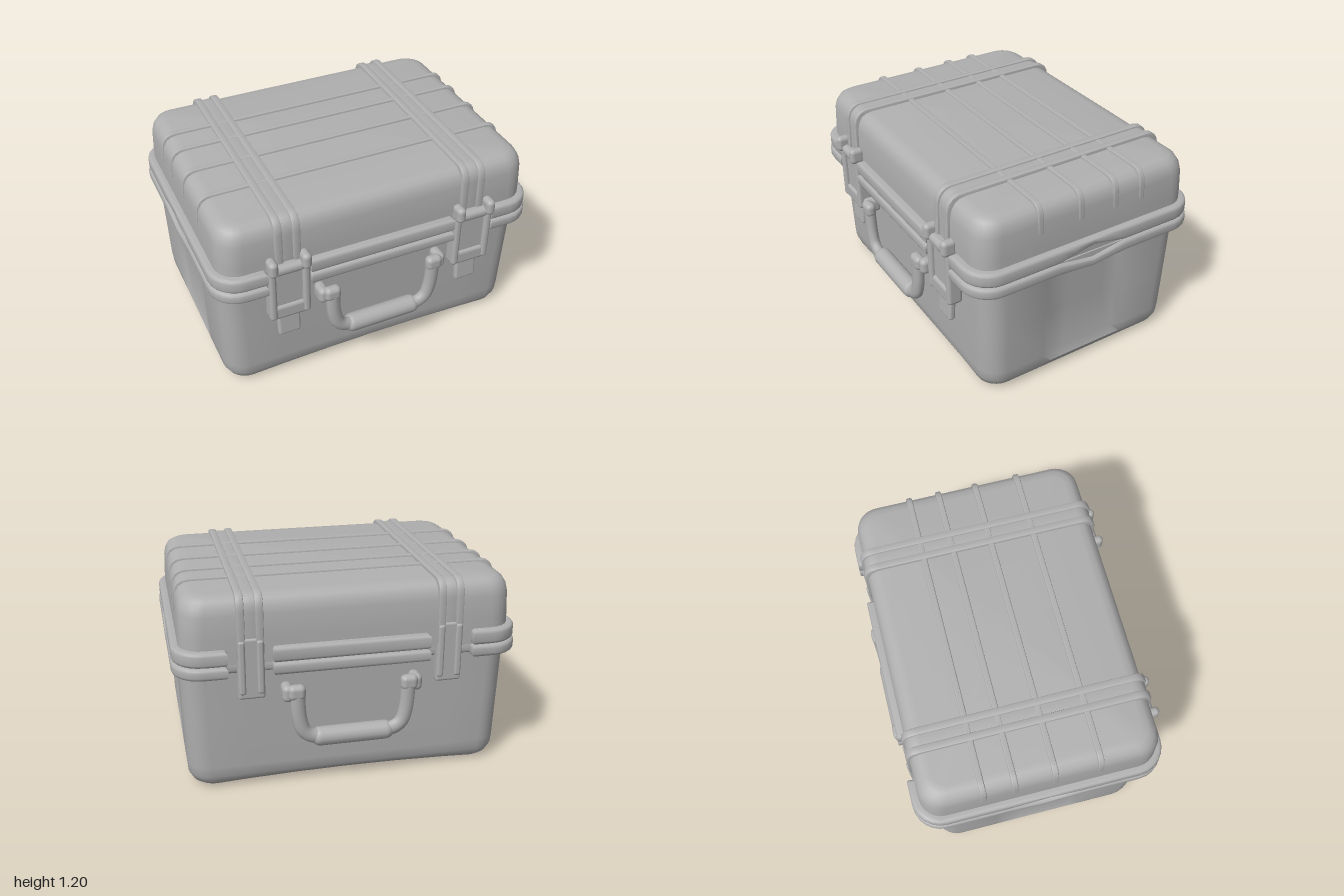
import * as THREE from 'three';
import { toCreasedNormals } from 'three/addons/utils/BufferGeometryUtils.js';
import { RoundedBoxGeometry } from 'three/addons/geometries/RoundedBoxGeometry.js';

const grey = new THREE.MeshStandardMaterial({ color: 0xb0b0b0 });
grey.name = 'case grey';

const SIDE_Z = [0.28, 0.22, 0.12, 0, -0.12, -0.22, -0.28];
const SIDE_X = [[0.6, 0], [0.3, 0], [0, 0], [-0.3, 0], [-0.6, 0]];

// Rounded rectangle in x/z, with extra points along its sides; [x, inset] on the long ones
function outline(hx, hz, r, sideX = SIDE_X) {
  const pts = [];
  const corner = (sx, sz, start) => {
    for (let i = 0; i <= 6; i++) {
      const a = start + (i / 6) * Math.PI / 2;
      pts.push([sx * (hx - r) + r * Math.cos(a), sz * (hz - r) + r * Math.sin(a)]);
    }
  };
  corner(1, 1, 0);
  sideX.forEach(([x, d]) => pts.push([x, hz - d]));
  corner(-1, 1, Math.PI / 2);
  SIDE_Z.forEach(z => pts.push([-hx, z]));
  corner(-1, -1, Math.PI);
  sideX.forEach(([x, d]) => pts.push([-x, -hz + d]));
  corner(1, -1, Math.PI * 1.5);
  SIDE_Z.forEach(z => pts.push([hx, -z]));
  return pts;
}

// Closed shell through rings [y, hx, hz, r]; rule may move each point
function shell(rings, rule) {
  const pos = [], idx = [];
  let n = 0;
  const add = (x, y, z) => {
    const v = new THREE.Vector3(x, y, z);
    if (rule) rule(v);
    pos.push(v.x, v.y, v.z);
  };
  rings.forEach(([y, hx, hz, r]) => {
    const o = outline(hx, hz, r);
    n = o.length;
    o.forEach(([x, z]) => add(x, y, z));
  });
  const last = (rings.length - 1) * n, bottom = rings.length * n, top = bottom + 1;
  add(0, rings[0][0], 0);
  add(0, rings[rings.length - 1][0], 0);
  for (let i = 0; i < n; i++) {
    const j = (i + 1) % n;
    for (let k = 0; k < last; k += n) {
      idx.push(k + i, k + n + i, k + n + j, k + i, k + n + j, k + j);
    }
    idx.push(bottom, i, j, top, last + j, last + i);
  }
  const g = new THREE.BufferGeometry();
  g.setAttribute('position', new THREE.Float32BufferAttribute(pos, 3));
  g.setIndex(idx);
  return toCreasedNormals(g, 0.7);
}

// Rib that follows the lid over its top: an arch profile of half width h
function archRib(h, y0, y1, r, width) {
  const s = new THREE.Shape();
  s.moveTo(-h, y0);
  s.lineTo(h, y0);
  s.lineTo(h - 0.005, y1 - r);
  s.quadraticCurveTo(h - 0.01, y1, h - r, y1);
  s.lineTo(-h + r, y1);
  s.quadraticCurveTo(-h + 0.01, y1, -h + 0.005, y1 - r);
  s.closePath();
  const b = 0.008;
  const g = new THREE.ExtrudeGeometry(s, {
    depth: width - 2 * b, bevelSize: b, bevelThickness: b, bevelOffset: -b, bevelSegments: 2, curveSegments: 8,
  });
  g.translate(0, 0, -width / 2 + b);
  return toCreasedNormals(g, 0.7);
}

// Rim lip with latch notches; the ends open around a lens-shaped lock eye
function rimLip(y0, y1, hx, hz, lift0, lift1) {
  const b = 0.02;
  const notch = [[0.7, 0], [0.7, 0.075], [0.45, 0.075], [0.45, 0]];
  const side = [...notch, ...notch.map(([x, d]) => [-x, d]).reverse()];
  const shape = new THREE.Shape(outline(hx, hz, 0.17, side).map(p => new THREE.Vector2(...p)));
  const g = new THREE.ExtrudeGeometry(shape, {
    depth: y1 - y0 - 2 * b, bevelSize: b, bevelThickness: b, bevelOffset: -b, bevelSegments: 3,
  });
  g.rotateX(Math.PI / 2);
  g.translate(0, y1 - b, 0);
  const p = g.attributes.position;
  for (let i = 0; i < p.count; i++) {
    if (Math.abs(p.getX(i)) < 0.9) continue;
    const bump = Math.max(0, 1 - Math.abs(p.getZ(i)) / 0.22);
    const t = (p.getY(i) - y0) / (y1 - y0);
    p.setY(i, p.getY(i) + bump * (lift0 * (1 - t) + lift1 * t));
  }
  return toCreasedNormals(g, 0.7);
}

export function createModel() {
  const model = new THREE.Group();
  const add = (parent, name, geo, x = 0, y = 0, z = 0) => {
    const m = new THREE.Mesh(geo, grey);
    m.name = name;
    m.position.set(x, y, z);
    parent.add(m);
    return m;
  };
  const box = (parent, name, w, h, d, x, y, z, r = 0.015) =>
    add(parent, name, new RoundedBoxGeometry(w, h, d, 3, Math.min(r, w / 2.1, h / 2.1, d / 2.1)), x, y, z);

  // Lower body: arched underside and recessed end panels
  add(model, 'body', shell([
    [0, 0.83, 0.55, 0.07], [0.01, 0.878, 0.595, 0.1], [0.035, 0.912, 0.625, 0.12], [0.08, 0.935, 0.643, 0.13],
    [0.14, 0.94, 0.647, 0.13], [0.45, 0.948, 0.655, 0.13], [0.8, 0.957, 0.665, 0.13],
  ], v => {
    if (v.y > 0.1 && Math.abs(v.z) < 0.25 && Math.abs(v.x) > 0.9) v.x -= Math.sign(v.x) * 0.022;
    if (v.y < 0.05) v.y += 0.022 * Math.max(0, 1 - (v.x / 0.8) ** 2);
  }));
  for (const z of [-0.22, 0.22]) box(model, 'bottomRunner', 1.5, 0.03, 0.05, 0, 0.02, z);

  // Lid
  add(model, 'lid', shell([
    [0.8, 0.955, 0.7, 0.13], [0.95, 0.953, 0.7, 0.13], [1.08, 0.948, 0.695, 0.13], [1.125, 0.94, 0.685, 0.13],
    [1.16, 0.92, 0.665, 0.12], [1.178, 0.89, 0.635, 0.1], [1.184, 0.85, 0.595, 0.07],
  ]));
  for (const z of [-0.345, -0.165, 0.065, 0.325]) {
    add(model, 'lidRib', archRib(0.957, 1.02, 1.197, 0.09, 0.035), 0, 0, z);
  }

  // Rim lips
  add(model, 'lowerRim', rimLip(0.735, 0.805, 1, 0.75, -0.02, -0.035));
  add(model, 'upperRim', rimLip(0.808, 0.895, 0.995, 0.745, 0.05, 0));

  for (const s of [-1, 1]) {
    // Lid straps: a low band with two raised edges
    const strap = new THREE.Group();
    strap.name = 'lidStrap';
    strap.position.x = s * 0.57;
    strap.rotation.y = Math.PI / 2;
    model.add(strap);
    add(strap, 'strapBand', archRib(0.708, 0.82, 1.193, 0.1, 0.13));
    for (const e of [-0.052, 0.052]) add(strap, 'strapEdge', archRib(0.718, 0.82, 1.203, 0.1, 0.045), 0, 0, e);

    // Rear hinges
    box(model, 'hinge', 0.15, 0.36, 0.08, s * 0.57, 0.77, -0.675);
    for (const e of [-0.052, 0.052]) box(model, 'hingeEdge', 0.04, 0.32, 0.07, s * 0.57 + e, 0.78, -0.69);

    // Front latches
    const latch = new THREE.Group();
    latch.name = 'latch';
    latch.position.x = s * 0.577;
    model.add(latch);
    for (const e of [-1, 1]) {
      box(latch, 'latchSideBar', 0.045, 0.38, 0.09, e * 0.1, 0.73, 0.705, 0.02);
      box(latch, 'latchKnuckle', 0.055, 0.1, 0.09, e * 0.097, 0.92, 0.73, 0.035);
    }
    box(latch, 'latchPlate', 0.18, 0.3, 0.06, 0, 0.72, 0.695);
    box(latch, 'latchTopBar', 0.19, 0.065, 0.08, 0, 0.885, 0.715, 0.03);
    box(latch, 'latchLowerBar', 0.23, 0.1, 0.09, 0, 0.578, 0.695, 0.025);
    box(latch, 'latchPullTab', 0.135, 0.18, 0.04, 0, 0.475, 0.695).rotation.x = -0.06;
  }

  // Carrying handles, front and back
  for (const turn of [0, Math.PI]) {
    const handle = new THREE.Group();
    handle.name = turn ? 'backHandle' : 'frontHandle';
    handle.rotation.y = turn;
    model.add(handle);
    const half = [[0.32, 0.63], [0.32, 0.56], [0.31, 0.45], [0.285, 0.375], [0.23, 0.338]];
    const path = [...half, ...half.map(([x, y]) => [-x, y]).reverse()];
    const curve = new THREE.CatmullRomCurve3(path.map(([x, y]) => new THREE.Vector3(x, y, 0)), false, 'centripetal');
    const bow = add(handle, 'handleBow', new THREE.TubeGeometry(curve, 48, 0.043, 12), 0, 0, 0.74);
    bow.scale.z = 0.8;
    const grip = new THREE.CapsuleGeometry(0.056, 0.38, 5, 16);
    grip.rotateZ(Math.PI / 2);
    add(handle, 'handleGrip', grip, 0, 0.327, 0.731);
    for (const s of [-1, 1]) {
      box(handle, 'handleElbow', 0.1, 0.09, 0.065, s * 0.325, 0.62, 0.742, 0.03);
      box(handle, 'handlePivot', 0.065, 0.1, 0.11, s * 0.373, 0.61, 0.7, 0.03);
    }
  }
  return model;
}
